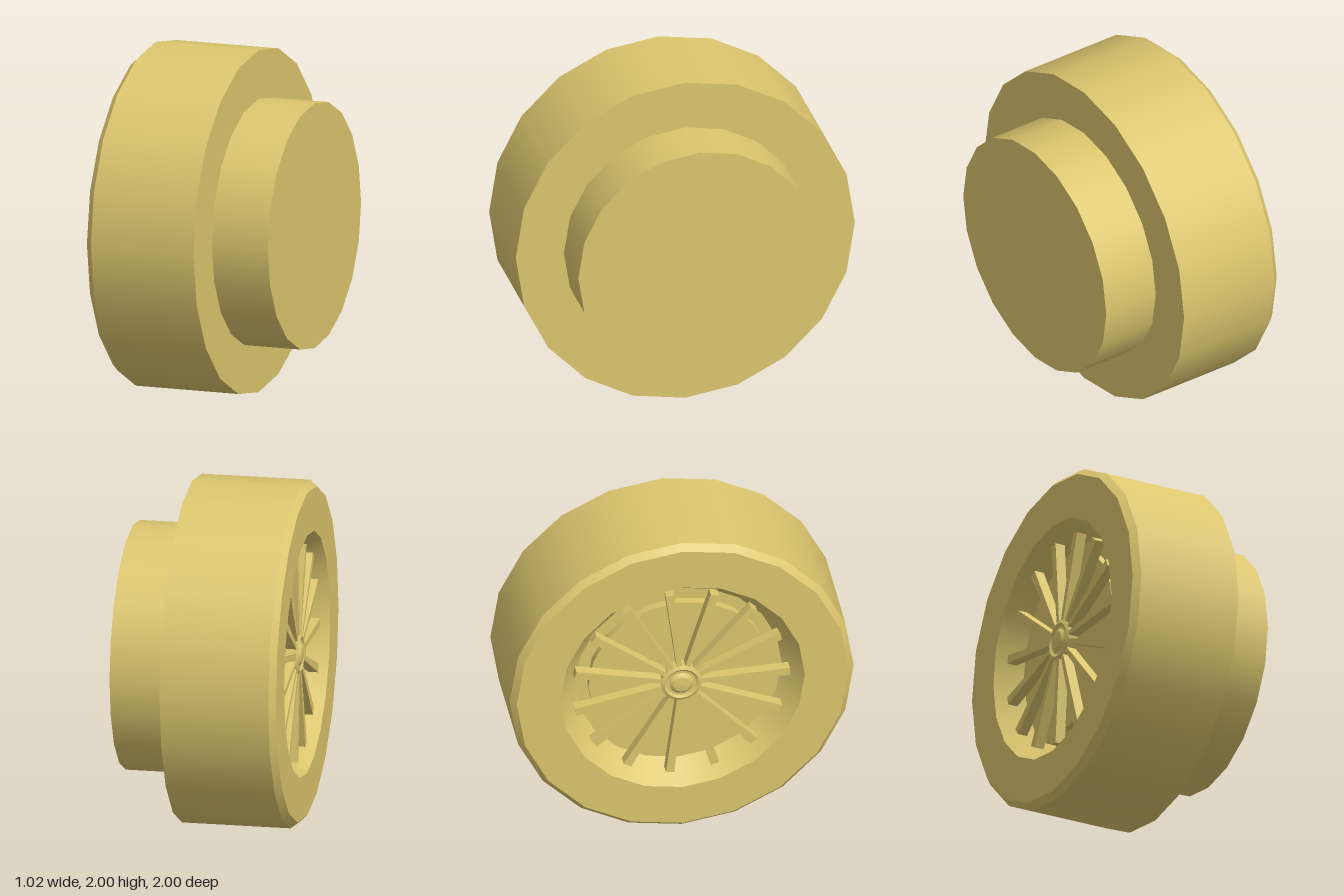
import * as THREE from 'three';
import { mergeGeometries } from 'three/addons/utils/BufferGeometryUtils.js';

const SIDES = 20;
const SPOKES = 15;

// Revolve a [radius, x] profile about the x axis, smooth around and sharp at each profile corner
function turned(profile) {
  const bands = [];
  for (let i = 0; i < profile.length - 1; i++) {
    const pair = [profile[i], profile[i + 1]].map(([r, x]) => new THREE.Vector2(r, x));
    bands.push(new THREE.LatheGeometry(pair, SIDES));
  }
  return mergeGeometries(bands).rotateZ(-Math.PI / 2);
}

export function createModel() {
  const brass = new THREE.MeshStandardMaterial({ color: 0xdcc66e });
  brass.name = 'brass';
  const wheel = new THREE.Group();
  wheel.name = 'wheel';
  wheel.position.y = 1;

  const add = (name, geometry) => {
    const mesh = new THREE.Mesh(geometry, brass);
    mesh.name = name;
    wheel.add(mesh);
    return mesh;
  };

  // Tyre with a dished recess on its outer face
  add('tyre', turned([
    [0, -0.36], [0.6, -0.36], [0.71, -0.508], [0.965, -0.508],
    [1, -0.47], [1, 0.163], [0, 0.163],
  ]));

  // Axle drum on the inner side
  add('axleDrum', turned([[0.716, 0.163], [0.716, 0.508], [0, 0.508]]));

  // Disc behind the spokes
  add('brakeDisc', turned([[0, -0.405], [0.53, -0.405], [0.53, -0.36]]));

  // Hub ring with a raised centre button
  add('hub', turned([
    [0, -0.465], [0.085, -0.465], [0.1, -0.475], [0.12, -0.465], [0.12, -0.405],
  ]));
  add('hubButton', turned([[0, -0.485], [0.05, -0.48], [0.07, -0.465]]));

  // Spokes, widening towards the rim
  const spoke = new THREE.BoxGeometry(0.06, 0.57, 0.05).translate(-0.435, 0.345, 0);
  const pos = spoke.attributes.position;
  for (let i = 0; i < pos.count; i++) {
    if (pos.getY(i) < 0.3) pos.setZ(i, pos.getZ(i) * 0.5);
  }
  spoke.computeVertexNormals();
  for (let i = 0; i < SPOKES; i++) {
    add('spoke', spoke).rotation.x = Math.PI / 2 + (i * 2 * Math.PI) / SPOKES;
  }

  const model = new THREE.Group();
  model.name = 'spokedWheel';
  model.add(wheel);
  return model;
}
